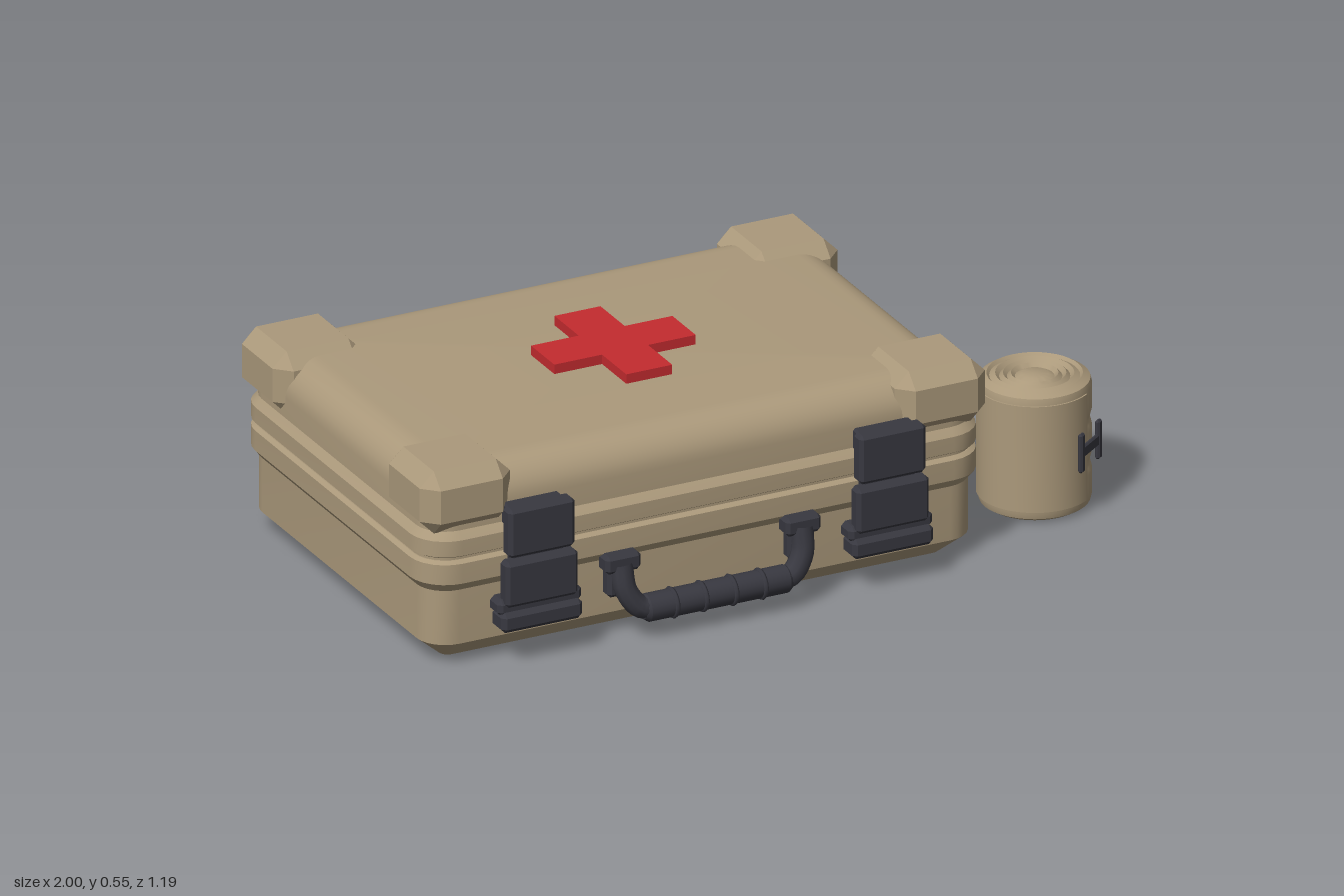
import * as THREE from 'three';
import { toCreasedNormals } from 'three/addons/utils/BufferGeometryUtils.js';
import { ConvexGeometry } from 'three/addons/geometries/ConvexGeometry.js';

const tan = new THREE.MeshStandardMaterial({ color: 0xab997b });
tan.name = 'tan';
const charcoal = new THREE.MeshStandardMaterial({ color: 0x383840 });
charcoal.name = 'charcoal';
const red = new THREE.MeshStandardMaterial({ color: 0xc42b2f });
red.name = 'red';

function add(parent, name, geometry, material, x = 0, y = 0, z = 0) {
  const mesh = new THREE.Mesh(geometry, material);
  mesh.name = name;
  mesh.position.set(x, y, z);
  parent.add(mesh);
  return mesh;
}

function group(parent, name, x = 0, y = 0, z = 0) {
  const g = new THREE.Group();
  g.name = name;
  g.position.set(x, y, z);
  parent.add(g);
  return g;
}

// Box with all twelve edges cut at 45 degrees
function chamferBox(w, h, d, c) {
  const points = [];
  for (const x of [-1, 1]) for (const y of [-1, 1]) for (const z of [-1, 1]) {
    for (let axis = 0; axis < 3; axis++) {
      const e = [c, c, c];
      e[axis] = 0;
      points.push(new THREE.Vector3(x * (w / 2 - e[0]), y * (h / 2 - e[1]), z * (d / 2 - e[2])));
    }
  }
  return new ConvexGeometry(points);
}

// Loft of rounded rectangles; each ring is [height, outward offset]
function shell(rings, halfX, halfZ, radius) {
  const pos = [], index = [], steps = 6, n = 4 * (steps + 1);
  for (const [y, d] of rings) {
    const r = Math.max(0.025, radius + d);
    for (let q = 0; q < 4; q++) for (let s = 0; s <= steps; s++) {
      const a = (q + s / steps) * Math.PI / 2;
      const sx = q === 0 || q === 3 ? 1 : -1, sz = q < 2 ? 1 : -1;
      pos.push(sx * (halfX + d - r) + r * Math.cos(a), y, sz * (halfZ + d - r) + r * Math.sin(a));
    }
  }
  const last = rings.length - 1, bottom = rings.length * n, top = bottom + 1;
  pos.push(0, rings[0][0], 0, 0, rings[last][0], 0);
  for (let j = 0; j < n; j++) {
    const k = (j + 1) % n;
    for (let i = 0; i < last; i++) {
      const a = i * n + j, b = i * n + k;
      index.push(a, a + n, b, b, a + n, b + n);
    }
    index.push(bottom, j, k, top, last * n + k, last * n + j);
  }
  const g = new THREE.BufferGeometry();
  g.setAttribute('position', new THREE.Float32BufferAttribute(pos, 3));
  g.setIndex(index);
  return toCreasedNormals(g, 0.45);
}

function lathe(points, segments) {
  return toCreasedNormals(new THREE.LatheGeometry(points.map(([x, y]) => new THREE.Vector2(x, y)), segments), 0.6);
}

function buildCase(root) {
  const box = group(root, 'case', -0.2, 0, -0.02);

  // Tub, sealing bands and lid
  add(box, 'tub', shell([[0, -0.07], [0.06, 0], [0.21, 0], [0.235, 0.02], [0.29, 0.02], [0.297, 0.008]], 0.775, 0.51, 0.08), tan);
  add(box, 'sealGroove', shell([[0.29, 0.005], [0.315, 0.005]], 0.775, 0.51, 0.08), tan);
  const lid = [[0.305, 0.008], [0.312, 0.02], [0.355, 0.02], [0.375, 0.002]];
  for (let i = 0; i <= 9; i++) {
    const a = i / 9 * Math.PI / 2;
    lid.push([0.43 + 0.095 * Math.sin(a), -0.1 + 0.1 * Math.cos(a)]);
  }
  add(box, 'lid', shell(lid, 0.775, 0.51, 0.08), tan);

  // Corner guards
  for (const x of [-1, 1]) for (const z of [-1, 1]) {
    add(box, 'cornerGuard', chamferBox(0.255, 0.172, 0.25, 0.04), tan, x * 0.672, 0.459, z * 0.41);
  }

  // Raised cross on the lid
  const a = 0.065, b = 0.2;
  const cross = new THREE.Shape([[a, a], [a, b], [-a, b], [-a, a], [-b, a], [-b, -a], [-a, -a], [-a, -b],
    [a, -b], [a, -a], [b, -a], [b, a]].map(([x, y]) => new THREE.Vector2(x, y)));
  const crossGeometry = new THREE.ExtrudeGeometry(cross, { depth: 0.03, bevelEnabled: false }).rotateX(-Math.PI / 2);
  add(box, 'cross', crossGeometry, red, 0, 0.521, 0);
}

function buildLatch(root, x) {
  const latch = group(root, 'latch', x);
  add(latch, 'upperPlate', chamferBox(0.188, 0.135, 0.046, 0.01), charcoal, 0, 0.368, 0.543);
  add(latch, 'upperMount', chamferBox(0.16, 0.06, 0.04, 0.006), charcoal, 0, 0.4, 0.51);
  add(latch, 'lever', chamferBox(0.205, 0.125, 0.046, 0.01), charcoal, 0, 0.228, 0.545);
  add(latch, 'link', chamferBox(0.15, 0.1, 0.03, 0.006), charcoal, 0, 0.295, 0.525);
  add(latch, 'base', chamferBox(0.238, 0.045, 0.062, 0.012), charcoal, 0, 0.162, 0.525);
  add(latch, 'pull', chamferBox(0.23, 0.055, 0.07, 0.012), charcoal, 0, 0.125, 0.535);
}

function buildHandle(root) {
  const handle = group(root, 'handle', -0.2);
  for (const s of [-1, 1]) {
    add(handle, 'handleMount', chamferBox(0.1, 0.05, 0.055, 0.01), charcoal, s * 0.255, 0.212, 0.517);
    add(handle, 'mountPlate', chamferBox(0.076, 0.085, 0.04, 0.01), charcoal, s * 0.255, 0.158, 0.51);
    const path = new THREE.CatmullRomCurve3([
      [0.255, 0.205, 0.525], [0.25, 0.14, 0.54], [0.218, 0.092, 0.55], [0.185, 0.082, 0.553],
    ].map(([x, y, z]) => new THREE.Vector3(s * x, y, z)));
    add(handle, 'handleArm', new THREE.TubeGeometry(path, 12, 0.03, 10), charcoal);
  }
  // Grip with finger ribs
  const grip = lathe([[0, -0.208], [0.028, -0.208], [0.037, -0.196], [0.037, 0.196], [0.028, 0.208], [0, 0.208]], 16);
  add(handle, 'grip', grip.rotateZ(Math.PI / 2), charcoal, 0, 0.082, 0.55);
  for (const x of [-0.125, -0.042, 0.042, 0.125]) {
    add(handle, 'gripRib', new THREE.TorusGeometry(0.035, 0.007, 6, 18).rotateY(Math.PI / 2), charcoal, x, 0.082, 0.55);
  }
}

function buildHinge(root, x) {
  const hinge = group(root, 'hinge', x);
  for (const y of [0.258, 0.352]) {
    add(hinge, 'hingeLeaf', chamferBox(0.178, 0.094, 0.026, 0.007), charcoal, 0, y, -0.56);
  }
  add(hinge, 'hingeBarrel', new THREE.CylinderGeometry(0.024, 0.024, 0.182, 14).rotateZ(Math.PI / 2), charcoal, 0, 0.305, -0.575);
}

function buildBandage(root) {
  const roll = group(root, 'bandageRoll', 0.855, 0, 0.25);

  // Three soft bulges with coiled ends
  const rings = [[0.115, 0.008], [0.1, 0], [0.09, 0.01], [0.08, 0], [0.07, 0.01], [0.06, 0], [0.05, 0.01], [0.035, 0.002], [0, 0.002]];
  const profile = rings.map(([r, d]) => [r, d]).reverse();
  profile.push([0.122, 0]);
  for (let k = 0; k < 3; k++) {
    const y0 = k * 0.118, edge = k === 0 ? 0.125 : 0.138;
    profile.push([edge, y0 + 0.001], [0.141, y0 + 0.011], [0.145, y0 + 0.026], [0.145, y0 + 0.092], [0.141, y0 + 0.107]);
    profile.push([k === 2 ? 0.125 : 0.138, y0 + 0.117]);
  }
  profile.push([0.122, 0.355], ...rings.map(([r, d]) => [r, 0.355 - d]));
  add(roll, 'roll', lathe(profile, 40), tan);

  // Loose outer end wrapped round the front
  const start = -1.9, sweep = 2.53;
  const flap = new THREE.LatheGeometry([[0.14, 0.032], [0.149, 0.032], [0.149, 0.325], [0.14, 0.325]]
    .map(([x, y]) => new THREE.Vector2(x, y)), 24, start, sweep);
  add(roll, 'bandageEnd', toCreasedNormals(flap, 0.6), tan);
  const edge = group(roll, 'bandageEdge');
  edge.rotation.y = start + sweep;
  add(edge, 'edgeStrip', new THREE.BoxGeometry(0.004, 0.293, 0.012), tan, -0.002, 0.1785, 0.143);

  // H-shaped fastening clip
  const clip = group(roll, 'clip');
  clip.rotation.y = 0.64;
  add(clip, 'clipBar', chamferBox(0.1, 0.032, 0.012, 0.004), charcoal, 0, 0.182, 0.155);
  for (const s of [-1, 1]) {
    add(clip, 'clipEnd', chamferBox(0.022, 0.108, 0.014, 0.005), charcoal, s * 0.048, 0.182, 0.156);
  }
}

export function createModel() {
  const model = new THREE.Group();
  model.name = 'firstAidKit';
  buildCase(model);
  for (const x of [-0.697, 0.296]) buildLatch(model, x);
  buildHandle(model);
  for (const x of [-0.66, 0.262]) buildHinge(model, x);
  buildBandage(model);
  return model;
}
